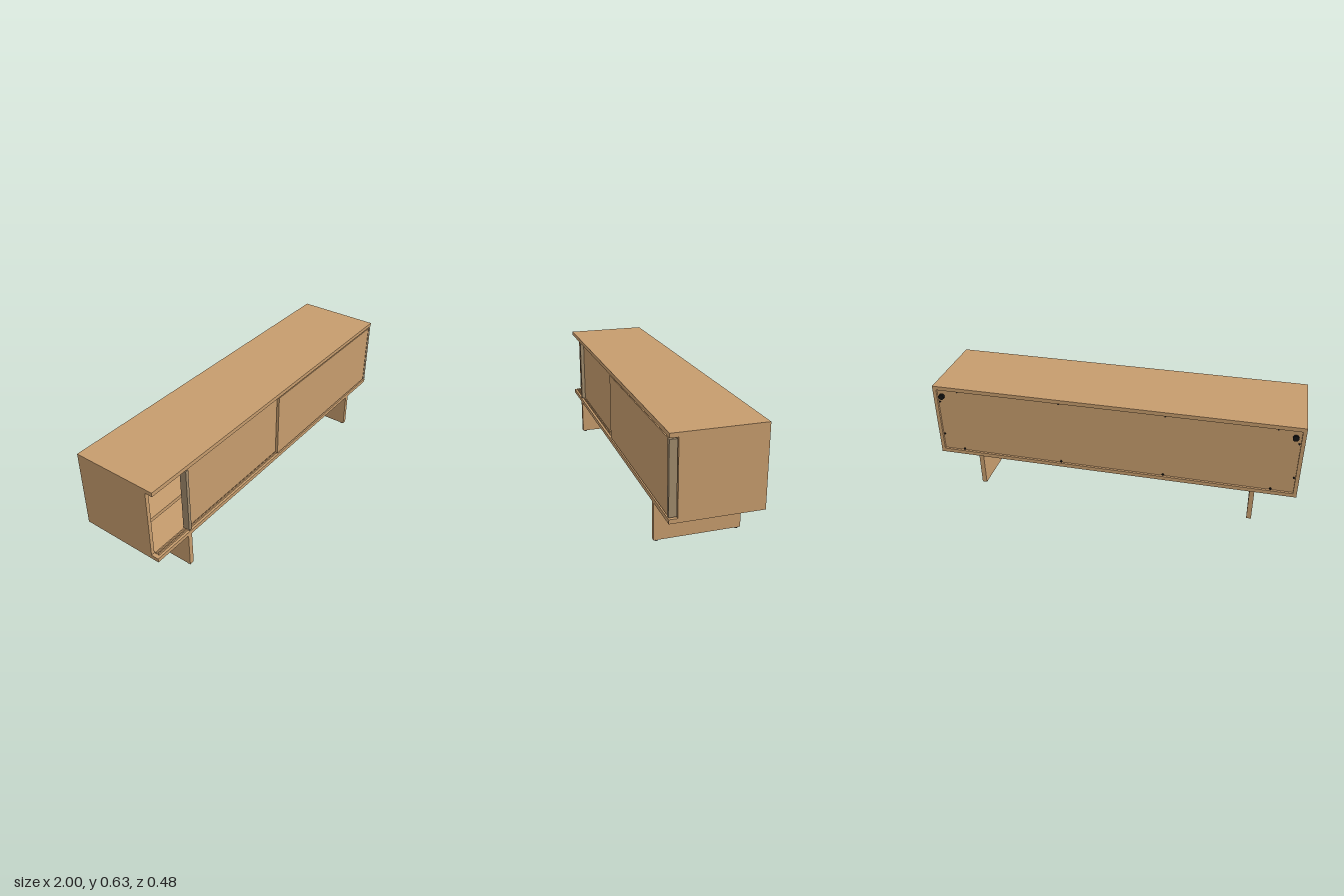
import * as THREE from 'three';

export function createModel() {
  const model = new THREE.Group();
  model.name = 'sideboard';
  const wood = new THREE.MeshStandardMaterial({ name: 'oak', color: 0xc69c6d });
  const metal = new THREE.MeshStandardMaterial({ name: 'greyBrownMetal', color: 0xa08a6c });
  const black = new THREE.MeshStandardMaterial({ name: 'black', color: 0x141414 });

  const add = (name, geometry, material) => {
    const mesh = new THREE.Mesh(geometry, material);
    mesh.name = name;
    model.add(mesh);
    return mesh;
  };
  // box given by its lower and upper limits on each axis
  const box = (name, [x0, x1], [y0, y1], [z0, z1], material = wood) => {
    const mesh = add(name, new THREE.BoxGeometry(x1 - x0, y1 - y0, z1 - z0), material);
    mesh.position.set((x0 + x1) / 2, (y0 + y1) / 2, (z0 + z1) / 2);
    return mesh;
  };
  const span = (s, a, b) => (s > 0 ? [a, b] : [-b, -a]);
  // disc facing backwards
  const backDisc = (name, x, y, z, radius, depth, sides) => {
    const mesh = add(name, new THREE.CylinderGeometry(radius, radius, depth, sides), black);
    mesh.rotation.x = Math.PI / 2;
    mesh.position.set(x, y, z);
  };

  // cabinet top and bottom, the bottom with two cable holes
  box('top', [-1, 1], [0.608, 0.63], [-0.228, 0.24]);
  const outline = new THREE.Shape();
  outline.moveTo(-1, -0.24);
  outline.lineTo(1, -0.24);
  outline.lineTo(1, 0.228);
  outline.lineTo(-1, 0.228);
  outline.closePath();
  for (const s of [-1, 1]) {
    const hole = new THREE.Path();
    hole.absarc(s * 0.67, 0.16, 0.036, 0, Math.PI * 2, true);
    outline.holes.push(hole);
  }
  const bottom = add('bottom', new THREE.ExtrudeGeometry(outline, {
    depth: 0.022, bevelEnabled: false, curveSegments: 24,
  }), wood);
  bottom.rotation.x = -Math.PI / 2;
  bottom.position.y = 0.204;

  // back panel, set in from the rear edges
  box('backPanel', [-0.98, 0.98], [0.226, 0.608], [-0.216, -0.204]);

  for (const s of [-1, 1]) {
    box('sidePanel', span(s, 0.98, 1), [0.226, 0.608], [-0.228, 0.198]);
    box('divider', span(s, 0.325, 0.345), [0.226, 0.608], [-0.204, 0.185]);
    box('shelf', span(s, 0.345, 0.98), [0.405, 0.425], [-0.204, 0.185]);

    // panel leg with two small feet
    box('leg', span(s, 0.757, 0.783), [0.006, 0.204], [-0.208, 0.24]);
    for (const z of [0.223, -0.19]) {
      const foot = add('foot', new THREE.CylinderGeometry(0.01, 0.01, 0.006, 16), black);
      foot.position.set(s * 0.77, 0.003, z);
    }

    // round cable holder on the back
    backDisc('cableHolderStem', s * 0.95, 0.572, -0.216, 0.01, 0.03, 16);
    backDisc('cableHolder', s * 0.95, 0.572, -0.2335, 0.016, 0.013, 20);

    // back panel screws
    for (const x of [0.287, 0.862]) {
      backDisc('lowerScrew', s * x, 0.233, -0.218, 0.006, 0.006, 10);
      backDisc('upperScrew', s * x, 0.601, -0.218, 0.004, 0.006, 10);
    }
    for (const y of [0.32, 0.53]) backDisc('sideScrew', s * 0.972, y, -0.218, 0.005, 0.006, 10);
  }

  // beams between the legs, the front one backed with a metal plate
  box('frontBeam', [-0.757, 0.757], [0.115, 0.204], [0.124, 0.146]);
  box('beamPlate', [-0.757, 0.757], [0.115, 0.204], [0.119, 0.124], metal);
  box('rearBeam', [-0.757, 0.757], [0.115, 0.204], [-0.088, -0.066]);

  // sliding door rails above and below
  for (const z of [0.209, 0.224]) {
    box('lowerRail', [-0.98, 0.98], [0.226, 0.236], [z - 0.003, z + 0.003]);
    box('upperRail', [-0.98, 0.98], [0.599, 0.608], [z - 0.003, z + 0.003]);
  }

  // two overlapping sliding doors with full-depth edge handles
  box('rearDoor', [-0.757, 0.21], [0.235, 0.6], [0.204, 0.219]);
  box('frontDoor', [-0.01, 0.976], [0.235, 0.6], [0.223, 0.238]);
  box('rearDoorHandle', [-0.775, -0.757], [0.234, 0.601], [0.202, 0.24], metal);
  box('frontDoorHandle', [0.976, 0.997], [0.234, 0.601], [0.202, 0.24], metal);

  return model;
}
